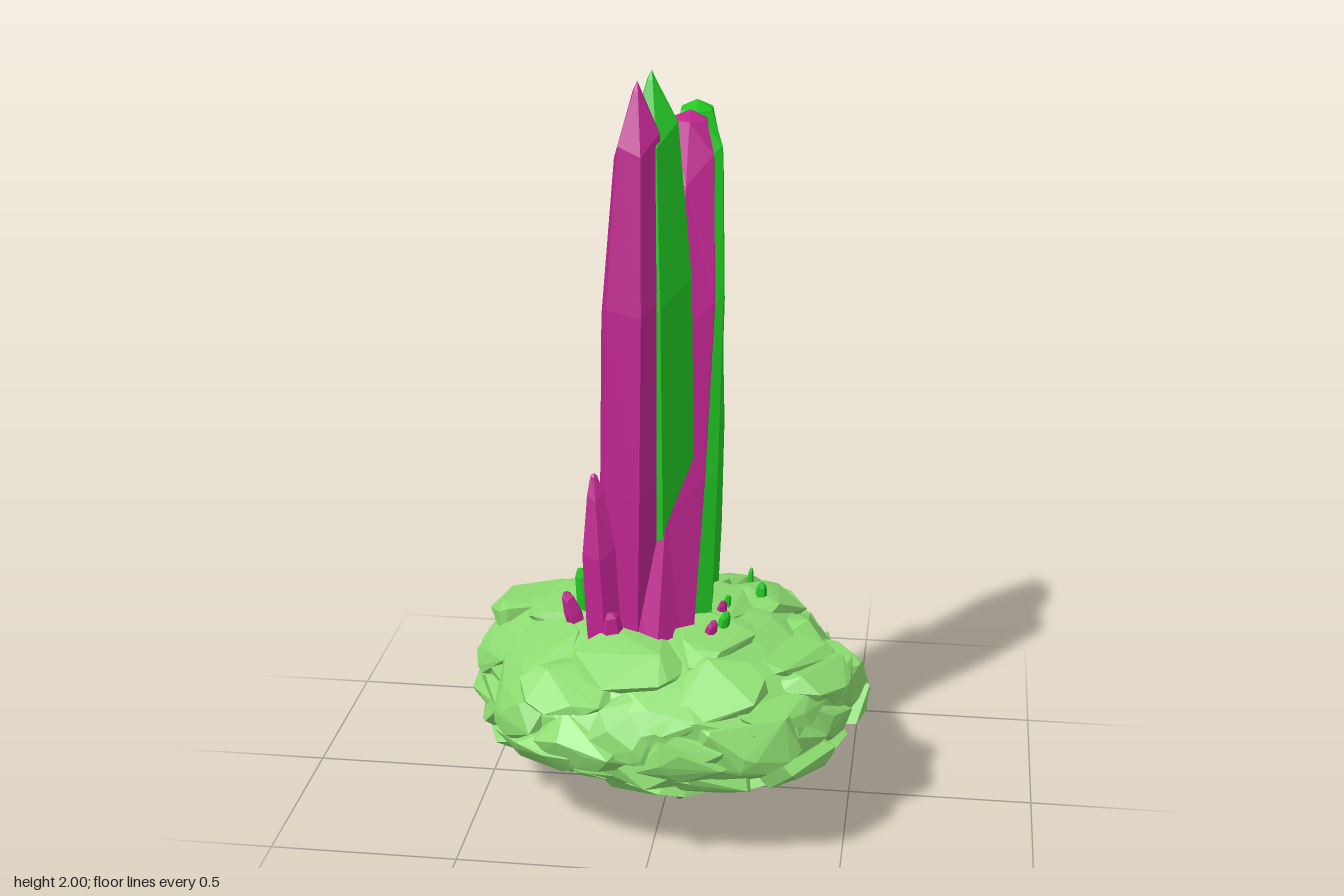
import * as THREE from 'three';
import { mergeVertices, mergeGeometries } from 'three/addons/utils/BufferGeometryUtils.js';
import { ConvexGeometry } from 'three/addons/geometries/ConvexGeometry.js';

const material = (color) => new THREE.MeshStandardMaterial({ color, flatShading: true });
const V = (x, y, z) => new THREE.Vector3(x, y, z);

let seed = 11;
function rand(a = 0, b = 1) {
  seed = (seed * 16807) % 2147483647;
  return a + (b - a) * (seed / 2147483647);
}

// Rock plan outline: radius every 18 degrees, from +x towards +z
const OUTLINE = [.55, .52, .55, .57, .52, .50, .49, .51, .52, .49, .55, .55, .56, .47, .49, .52, .50, .53, .49, .45];
const MID = 0.31, TOP = 0.255, BOTTOM = 0.245, POWER = 2.3;

function outline(x, z) {
  const n = OUTLINE.length;
  const a = ((Math.atan2(z, x) / (2 * Math.PI) + 1) % 1) * n;
  const i = Math.floor(a) % n;
  return THREE.MathUtils.lerp(OUTLINE[i], OUTLINE[(i + 1) % n], a - Math.floor(a));
}

// 1 on the rock's skin, below 1 inside (p is measured from the rock's middle);
// the underside drifts towards the back
function depth(p) {
  const z = p.z + 0.3 * Math.max(0, -p.y);
  const h = Math.hypot(p.x, z) / outline(p.x, z);
  const half = p.y < 0 ? BOTTOM - 0.06 * p.z : TOP;
  return Math.pow(h ** POWER + Math.abs(p.y / half) ** POWER, 1 / POWER);
}

function rockCore() {
  let geo = new THREE.IcosahedronGeometry(1, 3);
  geo.deleteAttribute('normal');
  geo.deleteAttribute('uv');
  geo = mergeVertices(geo, 1e-3);
  const pos = geo.attributes.position;
  for (let i = 0; i < pos.count; i++) {
    const p = V().fromBufferAttribute(pos, i);
    p.y *= 0.45;
    p.multiplyScalar(rand(0.89, 0.98) / depth(p));
    pos.setXYZ(i, p.x, p.y, p.z);
  }
  geo.computeVertexNormals();
  return geo;
}

// One angular chunk: the hull of points on a turned ellipsoid, trimmed to the rock's skin
function chunk(centre, size, turn, limit) {
  const pts = [];
  for (let k = 0; k < 20; k++) {
    const p = V(rand(-1, 1), rand(-1, 1), rand(-1, 1)).normalize().multiply(size).applyEuler(turn).add(centre);
    const d = depth(p);
    if (d > limit) p.multiplyScalar(limit / d);
    pts.push(p);
  }
  return new ConvexGeometry(pts);
}

// Slabs spread evenly over the core
function rockSlabs(count) {
  const slabs = [];
  for (let i = 0; i < count; i++) {
    const s = 1 - (2 * (i + 0.5)) / count;
    const a = i * 2.39996;
    const c = V(Math.cos(a) * Math.sqrt(1 - s * s), s * 0.5, Math.sin(a) * Math.sqrt(1 - s * s));
    c.multiplyScalar(0.82 / depth(c));
    const size = V(rand(0.15, 0.22), rand(0.06, 0.1), rand(0.13, 0.19));
    const turn = new THREE.Euler(rand(-0.2, 0.2), rand(0, 6.28), rand(-0.2, 0.2));
    slabs.push(chunk(c, size, turn, rand(0.97, 1.04)));
  }
  return mergeGeometries(slabs);
}

// Bulges that break the rock's silhouette: centre, size
const LOBES = [
  [[.02, -.17, -.38], [.2, .085, .14]],
  [[-.08, .1, -.36], [.2, .08, .13]],
  [[-.42, -.08, 0], [.15, .1, .2]],
  [[-.4, .12, -.16], [.13, .08, .17]],
  [[-.4, -.14, .08], [.13, .05, .15]],
  [[.42, .02, .02], [.14, .09, .2]],
  [[.37, .12, .13], [.14, .06, .17]],
  [[.1, -.02, .4], [.25, .1, .12]],
];

// Six-sided crystal from base to apex, oval by deep along z;
// shoulder and tip are fractions of the radius
function crystalGeometry(base, apex, r, deep, shoulder, tip, turn) {
  const rings = [[0, 0], [0.92, 0], [1, 0.35], [0.98, 0.65], [shoulder, 0.9], [tip, 0.985], [0, 1]];
  const geo = new THREE.LatheGeometry(rings.map(([w, t]) => new THREE.Vector2(w * r, t)), 6);
  geo.rotateY(turn);
  const pos = geo.attributes.position;
  for (let i = 0; i < pos.count; i++) {
    const t = pos.getY(i);
    const p = V(pos.getX(i), 0, pos.getZ(i) * deep);
    // uneven shoulder heights
    if (t > 0.3 && t < 0.95) p.y = Math.sin(3 * Math.atan2(p.z, p.x) + turn) * r * 0.25 + p.x * 0.25;
    p.add(base.clone().lerp(apex, t));
    pos.setXYZ(i, p.x, p.y, p.z);
  }
  geo.computeVertexNormals();
  return geo;
}

export function createModel() {
  const model = new THREE.Group();
  const magenta = material(0xbf2590);
  const green = material(0x22c624);
  const stone = material(0x8cdb70);

  function add(name, geo, mat, parent) {
    const mesh = new THREE.Mesh(geo, mat);
    mesh.name = name;
    parent.add(mesh);
  }

  const rock = new THREE.Group();
  rock.name = 'rock';
  rock.position.y = MID;
  add('rockCore', rockCore(), stone, rock);
  add('rockSlabs', rockSlabs(60), stone, rock);
  const lobes = LOBES.map(([c, s]) => chunk(V(...c), V(...s), new THREE.Euler(0, 0, 0), 1.1));
  add('rockLobes', mergeGeometries(lobes), stone, rock);
  model.add(rock);

  // Large crystals: magenta ones with a green twin set back and to the left
  // name, colour, base, apex, radius, depth ratio, shoulder, tip, turn
  const crystals = [
    ['tallCrystalMagenta', magenta, [-.09, .35, .1], [-.075, 1.98, .055], .097, 1.1, .64, .12, .3],
    ['tallCrystalGreen', green, [-.025, .35, .04], [-.045, 2, .01], .105, 1.15, .66, .12, .3],
    ['leaningCrystalMagenta', magenta, [-.02, .35, .15], [.02, 1.845, -.265], .115, 1.1, .72, .45, .1],
    ['leaningCrystalGreen', green, [.03, .35, .07], [.03, 1.86, -.33], .106, 1.25, .8, .45, .1],
    ['backCrystalGreen', green, [.02, .35, -.11], [.025, 1.29, -.285], .1, 1.1, .86, .4, .5],
    ['shortCrystalMagenta', magenta, [-.145, .35, .18], [-.18, .97, .155], .05, 1, .5, .2, .2],
    ['shortCrystalGreen', green, [-.12, .35, .12], [-.13, .9, .11], .05, 1, .45, .2, .2],
  ];
  for (const [name, mat, base, apex, ...form] of crystals) {
    add(name, crystalGeometry(V(...base), V(...apex), ...form), mat, model);
  }

  // Small shards: base, apex, radius, is green
  const shards = [
    [[-.22, .42, .08], [-.27, .6, .09], .026, 0],
    [[-.2, .42, .04], [-.24, .65, .04], .026, 1],
    [[-.18, .42, 0], [-.21, .6, 0], .03, 0],
    [[-.15, .42, -.03], [-.18, .64, -.04], .032, 1],
    [[-.13, .42, .19], [-.135, .6, .2], .035, 0],
    [[.1, .42, .16], [.14, .58, .18], .02, 0],
    [[.13, .42, .12], [.17, .59, .14], .02, 1],
    [[.13, .42, .02], [.15, .58, .05], .018, 0],
    [[.13, .42, 0], [.16, .58, .01], .016, 1],
    [[.23, .42, -.1], [.24, .57, -.11], .02, 1],
    [[.19, .42, -.22], [.2, .56, -.23], .01, 1],
    // under the rock
    [[.05, .25, .08], [.04, 0, .1], .026, 0],
    [[.06, .25, .1], [.07, .05, .14], .024, 0],
    [[.05, .25, .03], [.05, .02, .04], .024, 0],
    [[.07, .25, .04], [.09, .05, .06], .022, 1],
    [[.04, .25, 0], [.05, .04, -.02], .022, 0],
    [[-.16, .25, .1], [-.18, .08, .12], .02, 0],
  ];
  const shardGroup = new THREE.Group();
  shardGroup.name = 'shards';
  shards.forEach(([base, apex, r, isGreen], i) => {
    const geo = crystalGeometry(V(...base), V(...apex), r, 1, .7, .35, i);
    // downward shards are built upside down, so flip their faces
    if (apex[1] < base[1]) {
      const idx = geo.index.array;
      for (let k = 0; k < idx.length; k += 3) [idx[k], idx[k + 1]] = [idx[k + 1], idx[k]];
      geo.computeVertexNormals();
    }
    add('shard' + (i + 1), geo, isGreen ? green : magenta, shardGroup);
  });
  model.add(shardGroup);
  return model;
}
